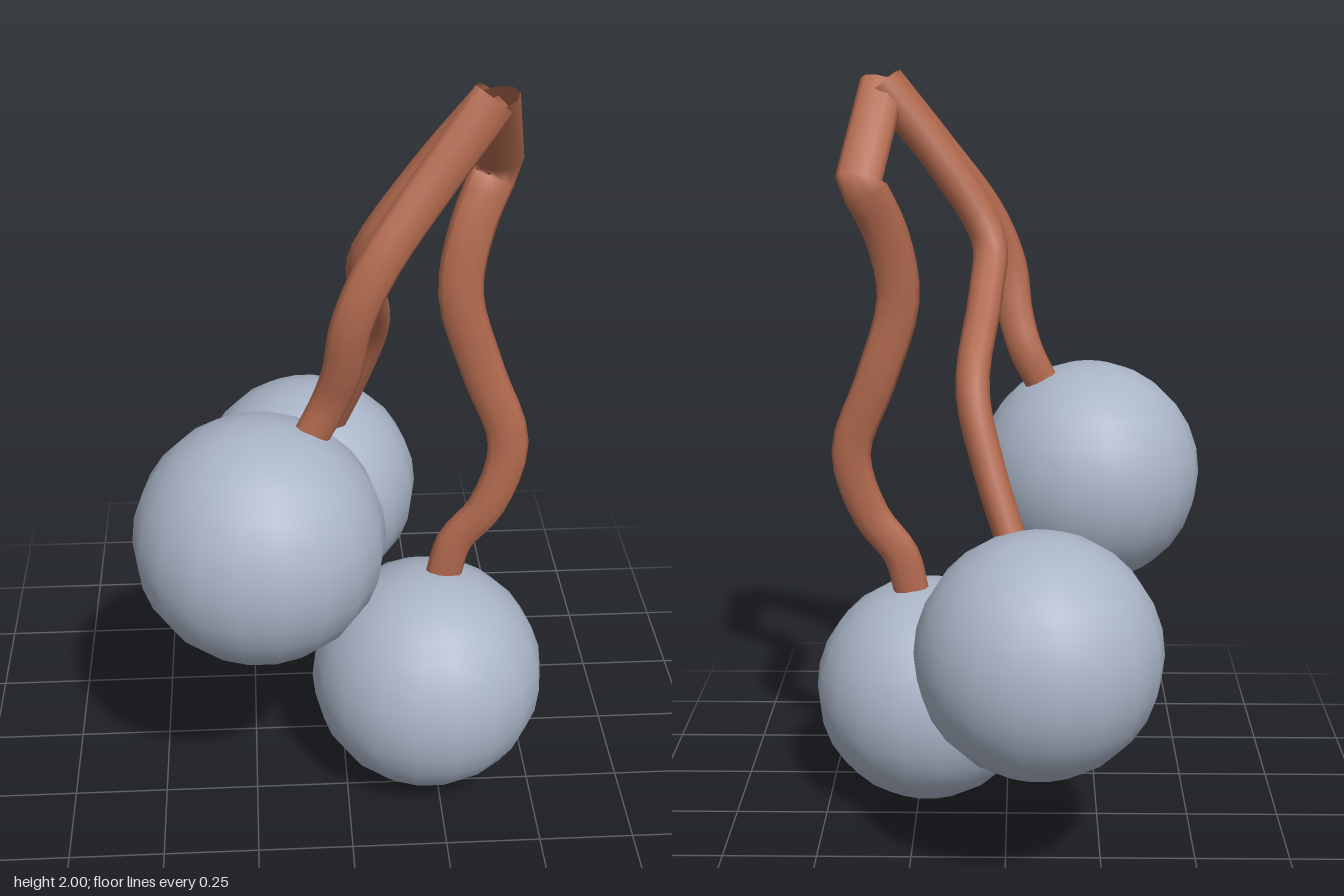
import * as THREE from 'three';

const fruitSkin = new THREE.MeshStandardMaterial({ color: 0xa9b4c6 });
fruitSkin.name = 'fruitSkin';
const stemBark = new THREE.MeshStandardMaterial({ color: 0xb1694e, side: THREE.DoubleSide });
stemBark.name = 'stemBark';

const vec = (p) => new THREE.Vector3(...p);
const SIDES = 10;

// Centre line: an optional straight lead-in, then a smooth curve
function centreLine(points, straightStart) {
  const pts = points.map(vec);
  const lead = straightStart ? [pts.shift()] : [];
  return lead.concat(new THREE.CatmullRomCurve3(pts).getPoints(28));
}

// Open oval tube; halfWidth lies across the front view, halfDepth across the other way
function stemGeometry(points, halfWidth, halfDepth, straightStart = false) {
  const line = centreLine(points, straightStart);
  const pos = [], index = [];
  const last = line.length - 1;
  line.forEach((p, i) => {
    const t = line[Math.min(i + 1, last)].clone().sub(line[Math.max(i - 1, 0)]).normalize();
    const u = new THREE.Vector3().crossVectors(t, new THREE.Vector3(0, 0, 1)).normalize();
    const v = new THREE.Vector3().crossVectors(t, u);
    const taper = 1 - 0.2 * (i / last);
    for (let j = 0; j < SIDES; j++) {
      const a = (j / SIDES) * Math.PI * 2;
      const q = p.clone()
        .addScaledVector(u, Math.cos(a) * halfWidth * taper)
        .addScaledVector(v, Math.sin(a) * halfDepth);
      pos.push(q.x, q.y, q.z);
      if (i < last) {
        const k = (j + 1) % SIDES, r = i * SIDES, s = r + SIDES;
        index.push(r + j, r + k, s + j, r + k, s + k, s + j);
      }
    }
  });
  const g = new THREE.BufferGeometry();
  g.setAttribute('position', new THREE.Float32BufferAttribute(pos, 3));
  g.setIndex(index);
  g.computeVertexNormals();
  return g;
}

export function createModel() {
  const model = new THREE.Group();
  model.name = 'cherryCluster';

  // Round fruits
  const fruits = {
    frontFruit: [-0.225, 0.895, 0.35],
    backFruit: [-0.085, 0.622, -0.35],
    lowFruit: [0.222, 0.318, 0.157],
  };
  const ball = new THREE.SphereGeometry(0.313, 18, 14);
  for (const [name, p] of Object.entries(fruits)) {
    const m = new THREE.Mesh(ball, fruitSkin);
    m.name = name;
    m.position.set(...p);
    model.add(m);
  }

  // Stems, all meeting at the top
  const stems = {
    frontStem: stemGeometry([
      [0.325, 1.975, 0.25], [0.19, 1.8, 0.3], [0.06, 1.62, 0.355], [0.0, 1.48, 0.365],
      [-0.02, 1.35, 0.34], [-0.05, 1.25, 0.315], [-0.1, 1.15, 0.315],
    ], 0.056, 0.028),
    backStem: stemGeometry([
      [0.325, 1.975, 0.235], [0.18, 1.79, 0.22], [0.05, 1.58, 0.19], [0.055, 1.45, 0.09],
      [0.085, 1.24, -0.11], [0.04, 1.05, -0.19], [-0.02, 0.87, -0.255],
    ], 0.05, 0.045),
    lowStem: stemGeometry([
      [0.325, 1.975, 0.245], [0.375, 1.75, 0.04], [0.31, 1.6, 0.085], [0.285, 1.43, 0.105],
      [0.35, 1.21, 0.105], [0.42, 1.01, 0.12], [0.37, 0.83, 0.13], [0.29, 0.72, 0.125],
      [0.262, 0.61, 0.125],
    ], 0.06, 0.03, true),
  };
  for (const [name, g] of Object.entries(stems)) {
    const m = new THREE.Mesh(g, stemBark);
    m.name = name;
    model.add(m);
  }
  return model;
}
